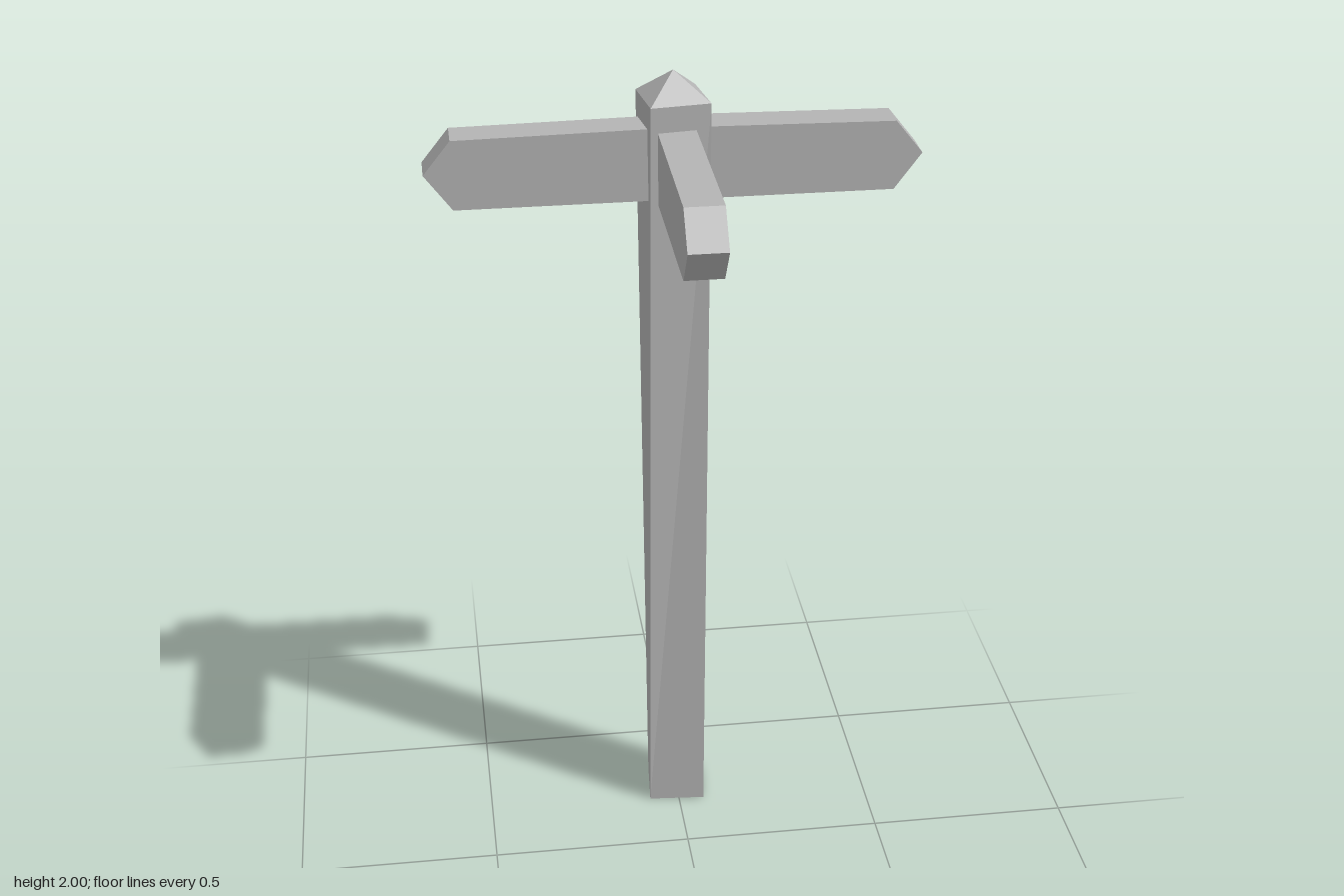
import * as THREE from 'three';

const POST_Z = -0.252;
const RADIUS = 0.101; // corner radius of the square post
const SHOULDER = 1.937;

// Turn a geometry about y by an angle that depends on height
function twist(geo, angleAt) {
  const p = geo.attributes.position;
  const v = new THREE.Vector3();
  const up = new THREE.Vector3(0, 1, 0);
  for (let i = 0; i < p.count; i++) {
    v.fromBufferAttribute(p, i).applyAxisAngle(up, angleAt(v.y));
    p.setXYZ(i, v.x, v.y, v.z);
  }
  geo.computeVertexNormals();
  return geo;
}

export function createModel() {
  const model = new THREE.Group();
  model.name = 'signpost';
  const grey = new THREE.MeshStandardMaterial({ color: 0xb4b4b4, flatShading: true });
  grey.name = 'grey';

  const add = (name, geo) => {
    const mesh = new THREE.Mesh(geo, grey);
    mesh.name = name;
    model.add(mesh);
    return mesh;
  };

  // Square post, slightly twisted along its height
  const angleAt = (y) => THREE.MathUtils.lerp(-0.08, 0.13, Math.min(y / SHOULDER, 1));
  const post = new THREE.CylinderGeometry(RADIUS, RADIUS, SHOULDER, 4, 1, false, Math.PI / 4);
  post.translate(0, SHOULDER / 2, 0);
  add('post', twist(post, angleAt)).position.z = POST_Z;

  // Low pyramid cap
  const capHeight = 2 - SHOULDER;
  const cap = new THREE.ConeGeometry(RADIUS, capHeight, 4, 1, true, Math.PI / 4);
  cap.translate(0, SHOULDER + capHeight / 2, 0);
  add('postCap', twist(cap, angleAt)).position.z = POST_Z;

  // Pointed sign arms, drawn along +x and turned about the post
  const arm = (name, length, turn) => {
    const shape = new THREE.Shape([
      [0.05, 1.703], [length - 0.065, 1.703], [length, 1.79],
      [length - 0.065, 1.87], [0.05, 1.877],
    ].map(([x, y]) => new THREE.Vector2(x, y)));
    const geo = new THREE.ExtrudeGeometry(shape, { depth: 0.09, bevelEnabled: false });
    geo.translate(0, 0, -0.045);
    const mesh = add(name, geo);
    mesh.position.z = POST_Z;
    mesh.rotation.y = turn;
  };
  arm('leftArm', 0.58, 0);
  arm('rightArm', 0.58, Math.PI);
  arm('frontArm', 0.58, -Math.PI / 2);

  return model;
}
